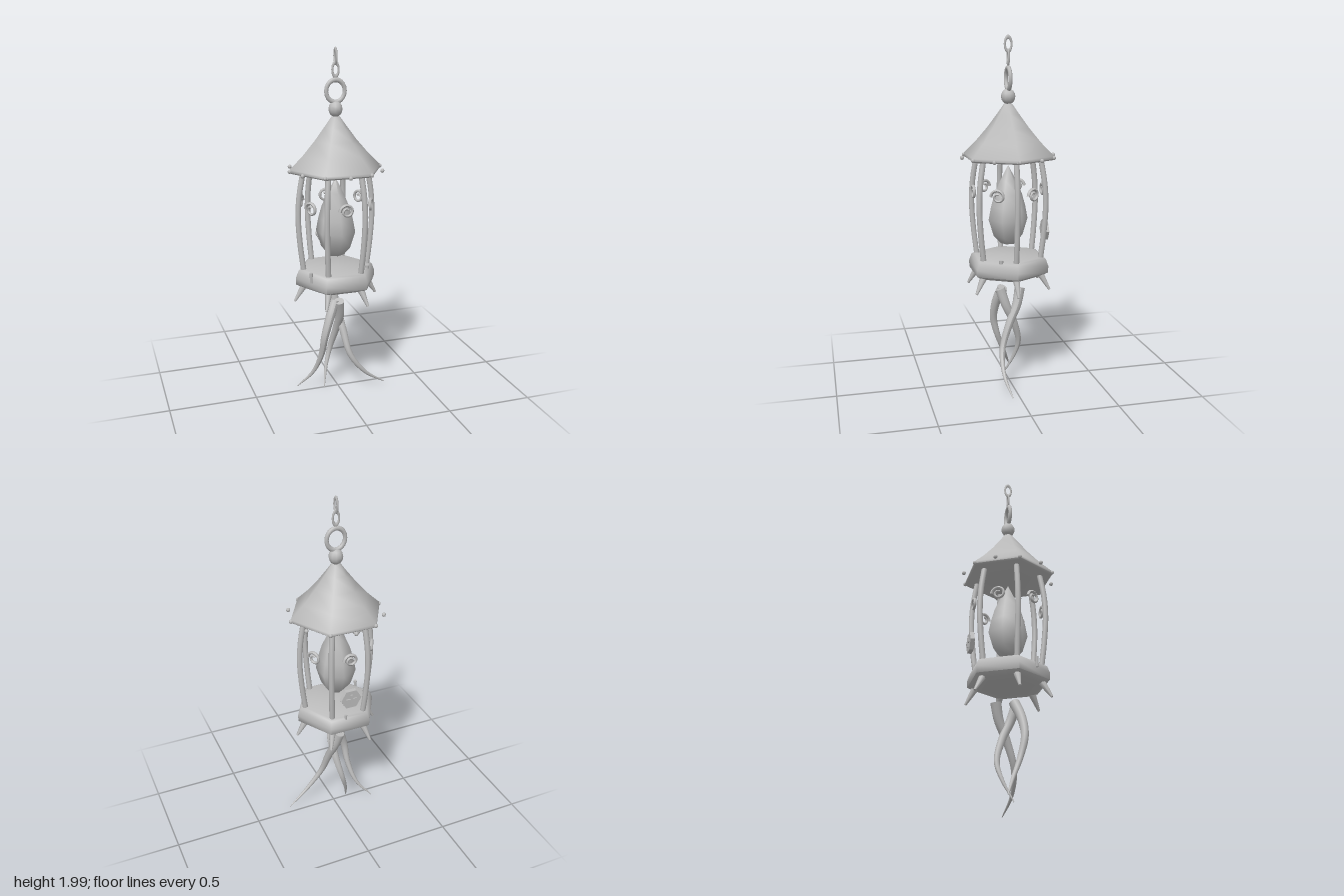
import * as THREE from 'three';
import { toCreasedNormals } from 'three/addons/utils/BufferGeometryUtils.js';

const V = (x, y, z) => new THREE.Vector3(x, y, z);

export function createModel() {
  const model = new THREE.Group();
  model.name = 'hangingLantern';
  const body = new THREE.Group();
  body.name = 'lantern';
  body.position.x = -0.0135;
  model.add(body);

  const metal = new THREE.MeshStandardMaterial({ color: 0xbcbcbc });
  metal.name = 'grey metal';

  const add = (name, geometry, x = 0, y = 0, z = 0, parent = body) => {
    const mesh = new THREE.Mesh(geometry, metal);
    mesh.name = name;
    mesh.position.set(x, y, z);
    parent.add(mesh);
    return mesh;
  };
  // Six-sided turned form, profile given bottom to top as [radius, y]
  const hexLathe = (points, start = Math.PI / 6, crease = 1.1) => toCreasedNormals(
    new THREE.LatheGeometry(points.map(([r, y]) => new THREE.Vector2(r, y)), 6, start), crease);
  // Tapered tube along a curve, radius from a function of t
  const taperedTube = (points, segments, sides, radius) => {
    const curve = new THREE.CatmullRomCurve3(points);
    const g = new THREE.TubeGeometry(curve, segments, 1, sides);
    const p = g.attributes.position, v = V(0, 0, 0);
    for (let i = 0; i < p.count; i++) {
      const t = Math.floor(i / (sides + 1)) / segments;
      const c = curve.getPointAt(t);
      v.fromBufferAttribute(p, i).sub(c).multiplyScalar(radius(t)).add(c);
      p.setXYZ(i, v.x, v.y, v.z);
    }
    g.computeVertexNormals();
    return g;
  };

  // Roof, closed underneath
  add('roof', hexLathe([[0, 1.322], [0.255, 1.322], [0.267, 1.33], [0.264, 1.345], [0.19, 1.417],
    [0.122, 1.495], [0.065, 1.57], [0.025, 1.625], [0, 1.635]]));

  // Finial and hanging chain
  add('finialBall', new THREE.SphereGeometry(0.04, 10, 8), 0, 1.667, 0).scale.y = 1.1;
  add('hangingRing', new THREE.TorusGeometry(0.053, 0.012, 8, 20), 0, 1.764, 0).scale.y = 1.13;
  add('lowerLink', new THREE.TorusGeometry(0.018, 0.006, 6, 14), 0, 1.878, 0).scale.y = 2.05;
  const upper = add('upperLink', new THREE.TorusGeometry(0.019, 0.006, 6, 14), 0, 1.95, 0);
  upper.scale.y = 2;
  upper.rotation.y = Math.PI / 2;

  // Base tray
  add('base', hexLathe([[0, 0.655], [0.195, 0.655], [0.236, 0.677], [0.238, 0.715],
    [0.222, 0.757], [0.205, 0.766], [0, 0.766]]));

  // Studs around the roof rim, every 30 degrees
  for (let i = 0; i < 12; i++) {
    const a = i * Math.PI / 6;
    add('rimStud', new THREE.SphereGeometry(0.012, 6, 5),
      0.263 * Math.cos(a), 1.335, 0.263 * Math.sin(a));
  }

  const barPath = [V(0.19, 0.755, 0), V(0.208, 0.9, 0), V(0.219, 1.06, 0), V(0.212, 1.19, 0), V(0.187, 1.335, 0)];
  const spiral = [];
  for (let i = 0; i <= 24; i++) {
    const t = i / 24, a = Math.PI * (1 - 2.7 * t), r = 0.04 - 0.027 * t;
    spiral.push(V(r * Math.cos(a), r * Math.sin(a), 0));
  }
  for (let i = 0; i < 6; i++) {
    // Bowed cage bar and splayed foot at each corner
    const corner = new THREE.Group();
    corner.name = 'cornerPost';
    corner.rotation.y = i * Math.PI / 3;
    body.add(corner);
    add('cageBar', new THREE.TubeGeometry(new THREE.CatmullRomCurve3(barPath), 12, 0.016, 8), 0, 0, 0, corner);
    const foot = add('footSpike', new THREE.CylinderGeometry(0.021, 0.007, 0.105, 8), 0.218, 0.622, 0, corner);
    foot.rotation.z = 0.55;

    // Scroll between neighbouring bars
    const side = new THREE.Group();
    side.name = 'scrollHolder';
    side.rotation.y = (i + 0.5) * Math.PI / 3;
    body.add(side);
    const scroll = add('scroll', taperedTube(spiral, 40, 6, t => 0.0095 - 0.003 * t), 0.2, 1.137, 0, side);
    scroll.rotation.y = Math.PI / 2;
  }

  // Faceted flame inside the cage
  add('flame', hexLathe([[0, 0.832], [0.045, 0.836], [0.085, 0.88], [0.114, 0.975], [0.1, 1.05],
    [0.08, 1.12], [0.045, 1.2], [0, 1.285]], 0, 1.2));

  // Small pegs standing on the tray rim
  for (const [x, z, r] of [[-0.18, 0.114, 0.01], [0.163, 0.08, 0.013], [0.022, -0.188, 0.009]])
    add('peg', new THREE.CylinderGeometry(r, r * 0.7, 0.06, 8), x, 0.748, z);

  // Hexagonal lock plate at the back with a raised cross
  const lock = new THREE.Group();
  lock.name = 'lock';
  lock.position.set(0.006, 0.902, -0.214);
  body.add(lock);
  const plate = toCreasedNormals(new THREE.CylinderGeometry(0.061, 0.061, 0.024, 6), 0.5);
  plate.rotateY(Math.PI / 6).rotateX(Math.PI / 2);
  add('lockPlate', plate, 0, 0, 0, lock);
  add('crossBar', new THREE.BoxGeometry(0.062, 0.012, 0.008), 0, 0, -0.014, lock);
  add('crossPost', new THREE.BoxGeometry(0.012, 0.062, 0.008), 0, 0, -0.0145, lock);

  // Trailing tendrils below the tray
  const tendrils = [
    [[0.005, 0.565, -0.068], [0.025, 0.47, -0.045], [0.045, 0.36, 0.005], [0.075, 0.22, 0.052],
      [0.165, 0.1, 0.063], [0.293, 0.008, 0.042]],
    [[0.005, 0.565, 0.05], [0.02, 0.46, 0.015], [0.012, 0.36, -0.03], [-0.015, 0.23, -0.065],
      [-0.045, 0.13, -0.045], [-0.076, 0.008, 0.012]],
    [[-0.015, 0.565, 0.03], [-0.055, 0.47, 0.06], [-0.088, 0.36, 0.068], [-0.1, 0.24, 0.04],
      [-0.138, 0.11, -0.012], [-0.222, 0.008, -0.058]],
  ];
  for (const path of tendrils) {
    const points = path.map(p => V(...p));
    add('tendril', taperedTube(points, 32, 10, t => 0.028 * (1 - t) ** 0.8 + 0.002));
    const cap = add('tendrilCap', new THREE.CircleGeometry(0.03, 10), ...path[0]);
    cap.quaternion.setFromUnitVectors(V(0, 0, 1),
      new THREE.CatmullRomCurve3(points).getTangentAt(0).negate());
  }
  return model;
}
